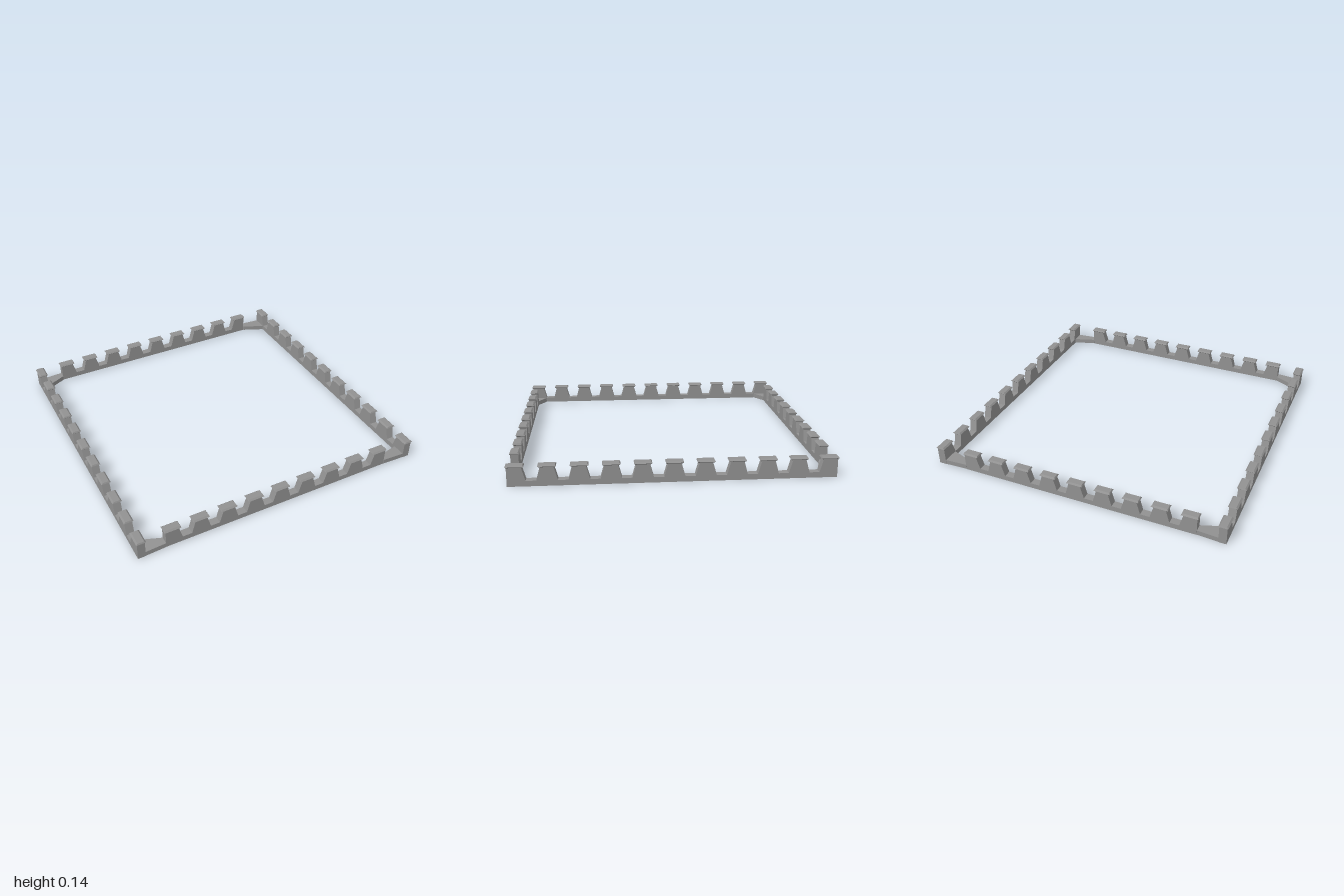
import * as THREE from 'three';

const material = new THREE.MeshStandardMaterial({ color: 0x919191, flatShading: true });
const PITCH = 0.1875, THICK = 0.05, FLOOR = 0.034, TOP = 0.116;

function addMesh(parent, name, geometry) {
  const mesh = new THREE.Mesh(geometry, material);
  mesh.name = name;
  parent.add(mesh);
  return mesh;
}

// Merlon cap: a slab that bulges at its middle and narrows to the top and bottom
function capGeometry() {
  const g = new THREE.BoxGeometry(0.108, 0.018, 0.062, 1, 2, 1);
  const p = g.attributes.position;
  for (let i = 0; i < p.count; i++) {
    const y = p.getY(i);
    if (Math.abs(y) < 0.001) continue;
    p.setX(i, p.getX(i) - Math.sign(p.getX(i)) * (y > 0 ? 0.005 : 0.01));
    p.setZ(i, p.getZ(i) - Math.sign(p.getZ(i)) * 0.01);
  }
  g.computeVertexNormals();
  return g;
}

// Crenellated wall along x: flared merlons, the two end ones upright on the outside
function createWall(name, count) {
  const wall = new THREE.Group();
  wall.name = name;
  const first = -PITCH * (count - 1) / 2;
  const end = -first + 0.047;
  const shape = new THREE.Shape();
  shape.moveTo(-end, 0);
  for (let i = 0; i < count; i++) {
    const c = first + i * PITCH;
    if (i > 0) shape.lineTo(c - 0.063, FLOOR);
    shape.lineTo(i > 0 ? c - 0.04 : -end, TOP);
    shape.lineTo(i < count - 1 ? c + 0.04 : end, TOP);
    if (i < count - 1) shape.lineTo(c + 0.063, FLOOR);
  }
  shape.lineTo(end, 0);
  shape.closePath();
  const body = new THREE.ExtrudeGeometry(shape, { depth: THICK, bevelEnabled: false });
  addMesh(wall, 'wallBody', body.translate(0, 0, -THICK / 2));
  const cap = capGeometry();
  for (let i = 0; i < count; i++) {
    addMesh(wall, 'merlonCap', cap).position.set(first + i * PITCH, TOP + 0.005, 0);
  }
  return wall;
}

// Low corner plate, tapering from the side wall and rising to meet the end wall
function createCorner(name, sx, sz) {
  const innerX = sx > 0 ? 0.785 : 0.812;
  const innerZ = sx > 0 && sz > 0 ? 0.895 : 0.875;
  const shape = new THREE.Shape([
    [0.95, 0.983], [innerX, 0.983], [innerX, 0.933], [0.95, innerZ],
  ].map(([x, z]) => new THREE.Vector2(sx * x, -sz * z)));
  const g = new THREE.ExtrudeGeometry(shape, { depth: 0.032, bevelEnabled: false });
  g.rotateX(-Math.PI / 2);
  const p = g.attributes.position;
  for (let i = 0; i < p.count; i++) {
    if (Math.abs(p.getX(i)) < 0.9) p.setY(i, p.getY(i) + 0.008);
  }
  g.computeVertexNormals();
  const group = new THREE.Group();
  addMesh(group, name, g);
  return group;
}

export function createModel() {
  const model = new THREE.Group();
  model.name = 'battlementFrame';

  // Side walls with eleven merlons each
  for (const [name, x] of [['leftWall', 0.968], ['rightWall', -0.969]]) {
    const wall = createWall(name, 11);
    wall.rotation.y = -Math.PI / 2;
    wall.position.x = x;
    model.add(wall);
  }

  // Front and back walls with nine merlons, set slightly higher
  for (const [name, z] of [['frontWall', 0.957], ['backWall', -0.96]]) {
    const wall = createWall(name, 9);
    wall.position.set(-0.015, 0.008, z);
    model.add(wall);
  }

  // Corner plates
  for (const sx of [-1, 1]) {
    for (const sz of [-1, 1]) {
      const name = (sz > 0 ? 'front' : 'back') + (sx > 0 ? 'Left' : 'Right') + 'Corner';
      model.add(createCorner(name, sx, sz));
    }
  }
  return model;
}
